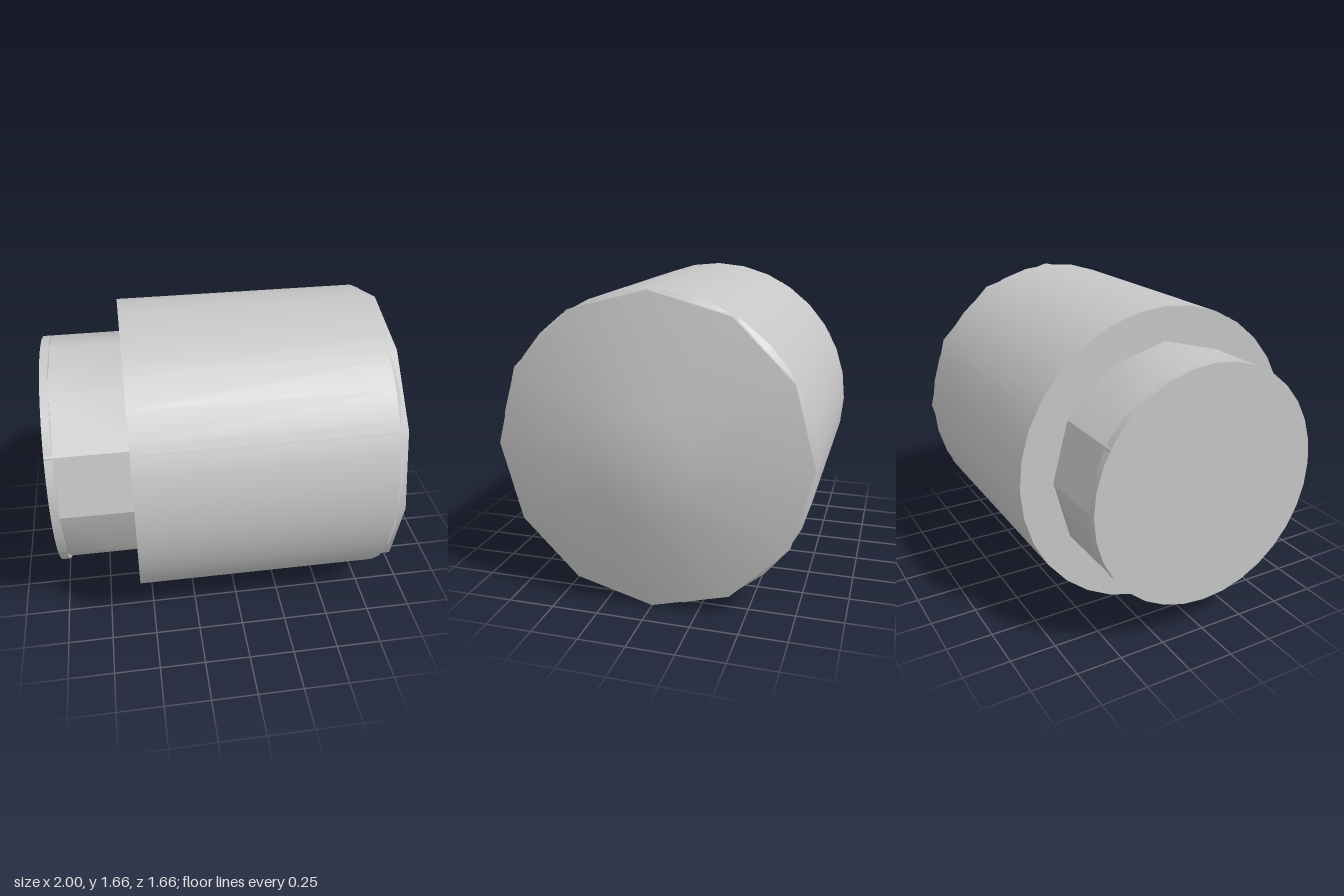
import * as THREE from 'three';

const R = 0.832;      // body radius
const NECK = 0.65;    // neck radius
const rad = THREE.MathUtils.degToRad;

export function createModel() {
  const group = new THREE.Group();
  const grey = new THREE.MeshStandardMaterial({ color: 0xc6c6c6 });
  grey.name = 'plainGrey';

  const add = (name, geometry, parent) => {
    const mesh = new THREE.Mesh(geometry.rotateZ(-Math.PI / 2), grey);
    mesh.name = name;
    parent.add(mesh);
  };
  // Turned part along x; each pair is [radius, x], listed from -x to +x
  const turned = (name, pairs, sides, parent = group) =>
    add(name, new THREE.LatheGeometry(pairs.map(([r, x]) => new THREE.Vector2(r, x)), sides), parent);

  // Main body: round barrel with a chamfered front rim
  const body = new THREE.Group();
  body.name = 'body';
  turned('barrelBack', [[0, -0.57], [R, -0.57]], 32, body);
  turned('barrelSide', [[R, -0.57], [R, 0.80]], 32, body);
  turned('barrelChamfer', [[R, 0.80], [R - 0.045, 0.845]], 32, body);
  group.add(body);

  // Twelve-sided core whose corners just show through the barrel
  turned('core', [[R, -0.57], [R, 0.845]], 12);

  // Shallow twelve-sided nose with a small flat tip
  turned('nose', [[R, 0.845], [0.27, 1], [0, 1]], 12);

  // Twelve-sided neck: smooth runs of facets between sharp corners
  const neck = new THREE.Group();
  neck.name = 'neck';
  const corners = [0, 30, 150, 180, 270, 300, 360];
  for (let i = 0; i < corners.length - 1; i++) {
    const a = corners[i], b = corners[i + 1];
    const g = new THREE.CylinderGeometry(NECK, NECK, 0.43, (b - a) / 30, 1, true, rad(-b), rad(b - a));
    g.computeVertexNormals();
    add('neckPanel', g.translate(0, -0.785, 0), neck);
  }
  group.add(neck);

  // Thin round end disc
  const disc = new THREE.Group();
  disc.name = 'endDisc';
  turned('discFace', [[0, -1], [NECK, -1]], 32, disc);
  turned('discRim', [[NECK, -1], [NECK, -0.955]], 32, disc);
  turned('discInner', [[NECK, -0.955], [0, -0.955]], 32, disc);
  group.add(disc);

  // Rest on the ground
  for (const part of group.children) part.position.y = R;
  return group;
}
